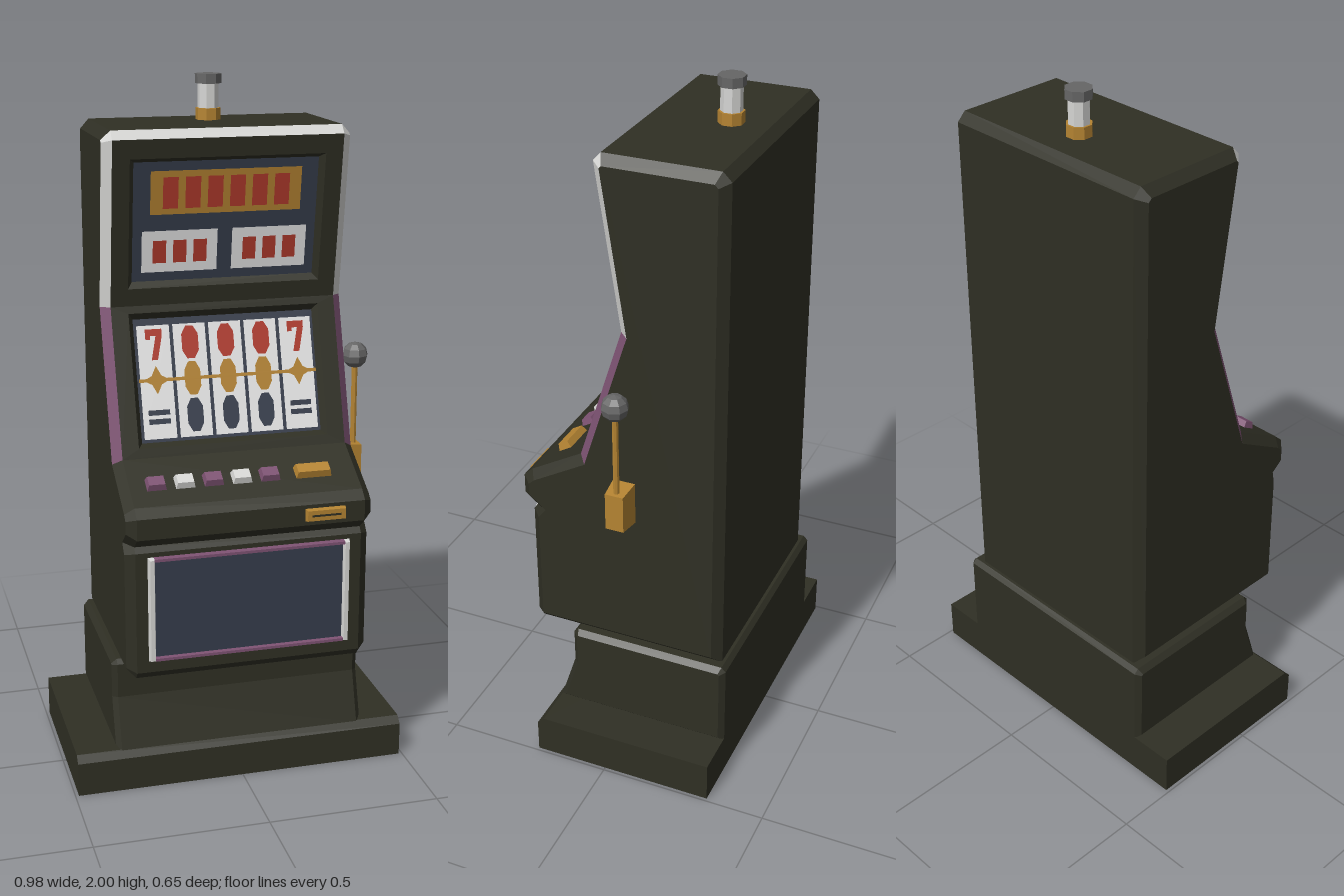
import * as THREE from 'three';

const mat = (name, color, side = THREE.FrontSide) => {
  const m = new THREE.MeshStandardMaterial({ color, side });
  m.name = name;
  return m;
};

export function createModel() {
  const body = mat('dark olive', 0x2f2f24), gold = mat('gold', 0xb58432);
  const white = mat('reel white', 0xececec), silver = mat('trim silver', 0xd6d6d4);
  const purple = mat('plum', 0x7d5272), navy = mat('navy', 0x363d4c);
  const red = mat('red', 0xb23a2c), grey = mat('grey', 0x666666);

  const model = new THREE.Group();
  model.name = 'slotMachine';

  const add = (parent, name, geo, material, x = 0, y = 0, z = 0) => {
    const m = new THREE.Mesh(geo, material);
    m.name = name;
    m.position.set(x, y, z);
    parent.add(m);
    return m;
  };
  const flat = (g) => {
    const n = g.index ? g.toNonIndexed() : g;
    n.computeVertexNormals();
    return n;
  };
  const fromTriangles = (pos) => {
    const g = new THREE.BufferGeometry();
    g.setAttribute('position', new THREE.Float32BufferAttribute(pos, 3));
    g.computeVertexNormals();
    return g;
  };
  // Box whose +z face shrinks by a bevel
  const bevelBox = (w, h, d, bx, by = bx) => {
    const g = new THREE.BoxGeometry(w, h, d), p = g.attributes.position;
    for (let i = 0; i < p.count; i++) if (p.getZ(i) > 0) {
      p.setX(i, p.getX(i) - Math.sign(p.getX(i)) * bx);
      p.setY(i, p.getY(i) - Math.sign(p.getY(i)) * by);
    }
    return flat(g);
  };
  const polygon = (pts) => new THREE.ShapeGeometry(new THREE.Shape(pts.map((p) => new THREE.Vector2(...p))));

  // Move a closed outline inward by d
  const insetOutline = (pts, d) => pts.map((p, i) => {
    const n = pts.length, a = pts[(i + n - 1) % n], b = pts[(i + 1) % n];
    const normal = (s, e) => new THREE.Vector2(s[1] - e[1], e[0] - s[0]).normalize();
    const n1 = normal(a, p), n2 = normal(p, b), k = d / (1 + n1.dot(n2));
    return [p[0] + (n1.x + n2.x) * k, p[1] + (n1.y + n2.y) * k];
  });

  // Side outline (z, y) swept across x, with chamfered sides; pick(edge, band) gives the material
  const sweep = (name, outline, half, chamfer, pick) => {
    const small = insetOutline(outline, chamfer), n = outline.length;
    const rings = chamfer
      ? [[half, small], [half - chamfer, outline], [chamfer - half, outline], [-half, small]]
      : [[half, outline], [-half, outline]];
    const bins = new Map();
    const tri = (m, ...v) => {
      if (!bins.has(m)) bins.set(m, []);
      v.forEach(([x, p]) => bins.get(m).push(x, p[1], p[0]));
    };
    for (let k = 0; k + 1 < rings.length; k++) {
      const [xa, ra] = rings[k], [xb, rb] = rings[k + 1];
      for (let i = 0; i < n; i++) {
        const m = pick(i, k), j = (i + 1) % n;
        if (!m) continue;
        tri(m, [xa, ra[i]], [xa, ra[j]], [xb, rb[j]]);
        tri(m, [xa, ra[i]], [xb, rb[j]], [xb, rb[i]]);
      }
    }
    const cap = rings[0][1];
    THREE.ShapeUtils.triangulateShape(cap.map((p) => new THREE.Vector2(...p)), []).forEach(([a, b, c]) => {
      tri(body, [half, cap[c]], [half, cap[b]], [half, cap[a]]);
      tri(body, [-half, cap[a]], [-half, cap[b]], [-half, cap[c]]);
    });
    const g = new THREE.Group();
    g.name = name;
    bins.forEach((pos, m) => add(g, m === body ? name + 'Shell' : name + 'Trim', fromTriangles(pos), m));
    model.add(g);
  };

  // Foot, pedestal and cabinet
  sweep('foot', [[-0.325, 0], [0.22, 0], [0.22, 0.1], [0.2, 0.12], [-0.325, 0.12]], 0.49, 0, () => body);
  sweep('pedestal', [[-0.325, 0.115], [0.203, 0.115], [0.155, 0.265], [0.155, 0.367], [0.142, 0.38],
    [-0.312, 0.38], [-0.325, 0.367]], 0.372, 0.015, () => body);
  const side = [[-0.303, 0.375], [0.27, 0.375], [0.285, 0.395], [0.285, 0.752], [0.272, 0.768], [0.312, 0.8],
    [0.312, 0.86], [0.285, 0.885], [0.13, 0.974], [0, 1.38], [0.07, 1.848], [0.048, 1.872],
    [-0.278, 1.872], [-0.303, 1.847]];
  const LOWER = 8, UPPER = 9, CREST = 10, DECK = 7;
  sweep('cabinet', side, 0.352, 0.026, (edge, band) => {
    if (edge === CREST) return silver;
    if (edge === LOWER) return band === 1 ? null : purple;
    if (edge === UPPER) return band === 1 ? null : silver;
    return body;
  });

  // Group lying on a sloped edge: local y is world height above its foot, local z points out
  const onSlope = (name, edge) => {
    const [z0, y0] = side[edge], [z1, y1] = side[edge + 1], t = Math.atan2(z1 - z0, y1 - y0);
    const g = new THREE.Group();
    g.name = name;
    g.position.set(0, y0, z0);
    g.rotation.x = t;
    g.scale.y = 1 / Math.cos(t);
    g.userData.height = y1 - y0;
    model.add(g);
    return g;
  };

  // Sloped front with a recessed screen
  const DEPTH = 0.02;
  const screen = (name, edge, yLow, yHigh) => {
    const g = onSlope(name, edge), y0 = side[edge][1], h = g.userData.height;
    const rect = (w, a, b) => [[-w, a], [w, a], [w, b], [-w, b]];
    const outer = rect(0.277, yLow - y0, yHigh - y0), inner = rect(0.263, yLow - y0 + 0.014, yHigh - y0 - 0.014);
    const shape = new THREE.Shape(rect(0.326, 0, h).map((p) => new THREE.Vector2(...p)));
    shape.holes.push(new THREE.Path(outer.map((p) => new THREE.Vector2(...p))));
    add(g, 'screenSurround', new THREE.ShapeGeometry(shape), body);
    const pos = [];
    for (let i = 0; i < 4; i++) {
      const j = (i + 1) % 4, a = [...outer[i], 0], b = [...outer[j], 0];
      const c = [...inner[j], -DEPTH], d = [...inner[i], -DEPTH];
      pos.push(...a, ...b, ...c, ...a, ...c, ...d);
    }
    add(g, 'recessWall', fromTriangles(pos), body);
    add(g, 'screenBack', polygon(inner), navy, 0, 0, -DEPTH);
    // Thin plate placed by world height on a given layer
    return (part, geo, m, x, y, layer) => add(g, part, geo, m, x, y - y0, -DEPTH + layer * 0.003);
  };
  const plane = (w, h) => new THREE.PlaneGeometry(w, h);

  // Upper display
  const top = screen('upperDisplay', UPPER, 1.43, 1.795);
  top('jackpotPlate', plane(0.43, 0.122), gold, 0, 1.695, 1);
  for (let i = 0; i < 6; i++) top('jackpotDigit', plane(0.043, 0.088), red, (i - 2.5) * 0.0635, 1.695, 2);
  for (const s of [-1, 1]) {
    top('counterPlate', plane(0.216, 0.118), white, s * 0.129, 1.529, 1);
    for (let i = -1; i <= 1; i++) top('counterDigit', plane(0.038, 0.064), red, s * 0.129 + i * 0.058, 1.529, 2);
  }

  // Reels and their symbols
  const reel = screen('reelDisplay', LOWER, 1.0, 1.36);
  const gem = (w, h) => polygon([[-w * 0.45, -h], [w * 0.45, -h], [w, -h * 0.5], [w, h * 0.5],
    [w * 0.45, h], [-w * 0.45, h], [-w, h * 0.5], [-w, -h * 0.5]]);
  const hook = polygon([[-0.01, -0.043], [0.008, -0.043], [0.024, 0.022], [0.024, 0.04], [-0.024, 0.04],
    [-0.024, 0.012], [-0.01, 0.012], [-0.01, 0.022], [0.006, 0.022]]);
  const diamond = polygon([[0, -0.038], [0.014, -0.012], [0.038, 0], [0.014, 0.012], [0, 0.038],
    [-0.014, 0.012], [-0.038, 0], [-0.014, -0.012]]);
  for (let i = -2; i <= 2; i++) {
    const x = i * 0.104, end = Math.abs(i) === 2;
    reel('reelStrip', plane(0.094, 0.305), white, x, 1.175, 1);
    reel('topSymbol', end ? hook : gem(0.024, 0.044), red, x, 1.277, 2);
    reel('middleSymbol', end ? diamond : gem(0.023, 0.045), gold, x, 1.18, 2);
    if (end) for (const s of [-1, 1]) reel('barSymbol', plane(0.062, 0.014), navy, x, 1.081 + s * 0.012, 2);
    else reel('bottomSymbol', gem(0.023, 0.045), navy, x, 1.081, 2);
  }
  reel('payLine', plane(0.52, 0.009), gold, 0, 1.18, 3);

  // Deck buttons
  const deck = onSlope('buttonDeck', DECK);
  for (let i = 0; i < 5; i++) {
    add(deck, 'deckButton', bevelBox(0.056, 0.022, 0.02, 0.005, 0.003), i % 2 ? silver : purple,
      -0.252 + i * 0.0815, 0.039, 0.008);
  }
  add(deck, 'betButton', bevelBox(0.104, 0.022, 0.022, 0.005, 0.003), gold, 0.2, 0.039, 0.009);

  // Coin slot on the lip
  add(model, 'coinSlot', bevelBox(0.122, 0.042, 0.024, 0.006), gold, 0.21, 0.831, 0.314);
  add(model, 'coinSlotPlate', plane(0.085, 0.006), body, 0.21, 0.831, 0.3268);

  // Lower front panel with trim
  add(model, 'frontPanel', plane(0.55, 0.3), navy, 0, 0.584, 0.288);
  for (const s of [-1, 1]) {
    add(model, 'panelSideTrim', bevelBox(0.024, 0.312, 0.022, 0.006), silver, s * 0.282, 0.584, 0.29);
    add(model, 'panelEdgeTrim', bevelBox(0.55, 0.016, 0.02, 0, 0.004), purple, 0, 0.584 + s * 0.148, 0.289);
  }

  // Pull lever on the model's left
  const lever = new THREE.Group();
  lever.name = 'lever';
  lever.position.set(0.402, 0, -0.013);
  model.add(lever);
  const mount = bevelBox(0.066, 0.128, 0.072, 0.006, 0.008);
  mount.rotateY(Math.PI / 2);
  add(lever, 'leverMount', mount, gold, -0.018, 0.869, 0);
  add(lever, 'leverRod', flat(new THREE.CylinderGeometry(0.009, 0.009, 0.26, 8)), gold, 0, 1.05, 0);
  add(lever, 'leverKnob', flat(new THREE.SphereGeometry(0.039, 8, 6)), grey, 0, 1.195, 0);

  // Signal lamp on the roof
  const lamp = new THREE.Group();
  lamp.name = 'lamp';
  lamp.position.z = -0.172;
  lamp.rotation.y = Math.PI / 8;
  model.add(lamp);
  const drum = (name, r, a, b, m) =>
    add(lamp, name, flat(new THREE.CylinderGeometry(r, r, b - a, 8)), m, 0, (a + b) / 2, 0);
  drum('lampBase', 0.036, 1.868, 1.905, gold);
  drum('lampGlass', 0.03, 1.905, 1.973, silver);
  drum('lampCap', 0.038, 1.973, 2.0, grey);

  return model;
}
